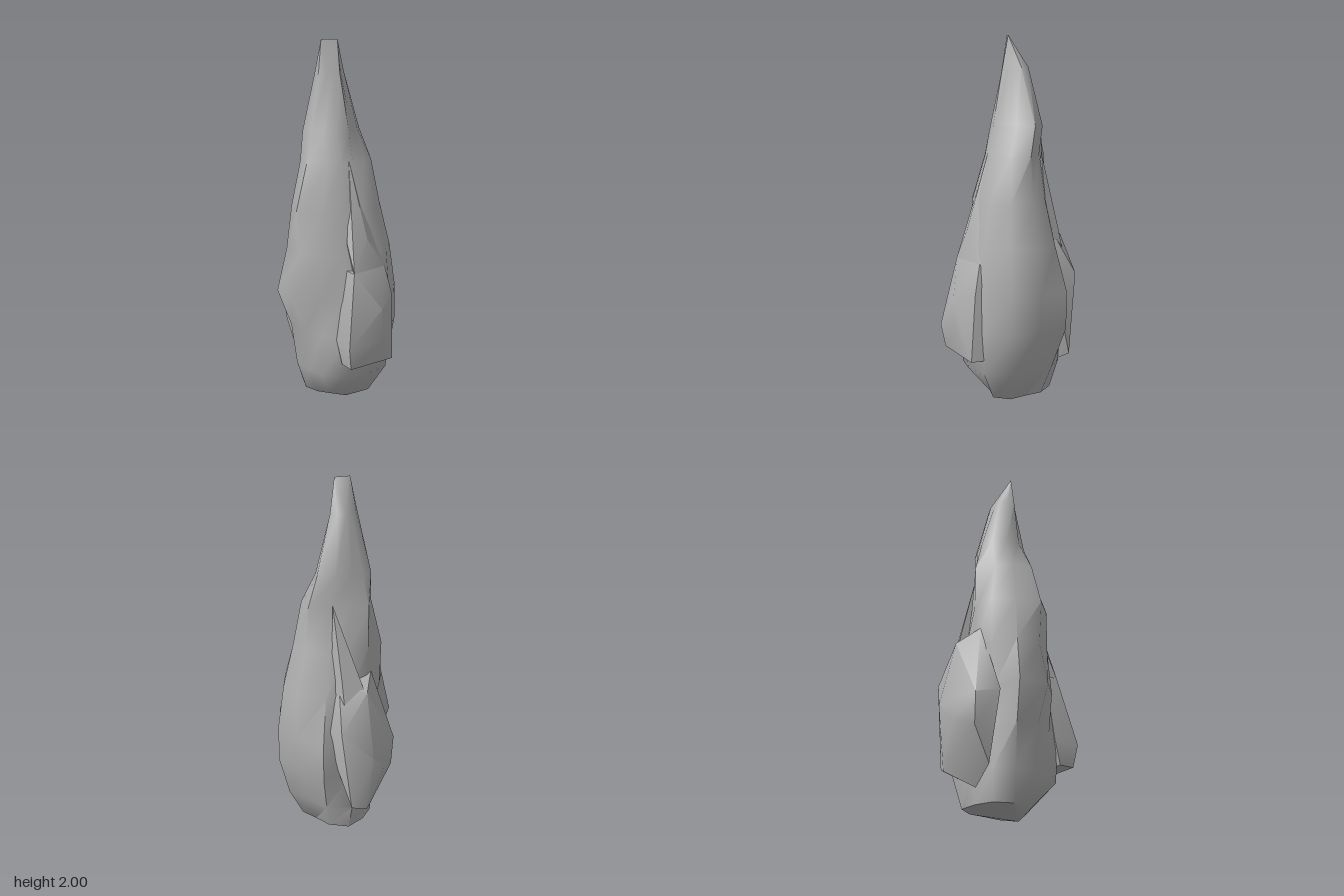
import * as THREE from 'three';
import { toCreasedNormals } from 'three/addons/utils/BufferGeometryUtils.js';
import { ConvexGeometry } from 'three/addons/geometries/ConvexGeometry.js';

const SIDES = 12;

// Each row: height, centre x, centre z, then radii every 30 degrees from +x towards +z
const SECTIONS = [
  [0.04, 0, 0, 0.125, 0.11, 0.12, 0.14, 0.18, 0.21, 0.21, 0.23, 0.2, 0.17, 0.2, 0.19],
  [0.2, 0, 0, 0.265, 0.26, 0.24, 0.21, 0.23, 0.22, 0.23, 0.28, 0.265, 0.23, 0.28, 0.29],
  [0.43, 0, 0, 0.29, 0.27, 0.23, 0.235, 0.26, 0.2, 0.23, 0.28, 0.35, 0.305, 0.338, 0.305],
  [0.64, 0, 0, 0.28, 0.24, 0.25, 0.318, 0.335, 0.2, 0.23, 0.26, 0.35, 0.32, 0.335, 0.305],
  [0.88, 0, 0, 0.25, 0.22, 0.23, 0.26, 0.28, 0.25, 0.22, 0.23, 0.28, 0.318, 0.3, 0.285],
  [1.12, 0, 0, 0.2, 0.2, 0.23, 0.28, 0.25, 0.255, 0.23, 0.2, 0.22, 0.24, 0.24, 0.22],
  [1.36, 0, 0, 0.13, 0.13, 0.15, 0.21, 0.2, 0.195, 0.23, 0.18, 0.18, 0.215, 0.19, 0.155],
  [1.52, -0.04, 0, 0.14, 0.135, 0.135, 0.15, 0.16, 0.16, 0.15, 0.14, 0.165, 0.195, 0.14, 0.115],
  [1.83, -0.03, 0.01, 0.065, 0.055, 0.065, 0.09, 0.09, 0.08, 0.07, 0.08, 0.095, 0.085, 0.05, 0.05],
];

function spireGeometry() {
  const points = [];
  for (const [y, cx, cz, ...radii] of SECTIONS) {
    radii.forEach((r, i) => {
      const a = (i / SIDES) * Math.PI * 2;
      points.push(cx + r * Math.cos(a), y, cz + r * Math.sin(a));
    });
  }
  // Tip pinches to a short ridge between two points
  for (let i = 0; i < SIDES; i++) {
    points.push(...(i >= 2 && i <= 6 ? [-0.035, 2, 0.078] : [0.005, 2, 0]));
  }
  points.push(0.08, 0, 0);

  const index = [];
  const foot = points.length / 3 - 1;
  for (let i = 0; i < SIDES; i++) {
    const n = (i + 1) % SIDES;
    index.push(foot, i, n);
    for (let k = 0; k < SECTIONS.length; k++) {
      const low = k * SIDES;
      const up = low + SIDES;
      index.push(low + i, up + i, low + n, low + n, up + i, up + n);
    }
  }
  const geometry = new THREE.BufferGeometry();
  geometry.setAttribute('position', new THREE.Float32BufferAttribute(points, 3));
  geometry.setIndex(index);
  return geometry;
}

// Chunky rock slab spanned by its corner points
const slab = (corners) => new ConvexGeometry(corners.map((c) => new THREE.Vector3(...c)));

export function createModel() {
  const group = new THREE.Group();
  group.name = 'rockSpire';
  const stone = new THREE.MeshStandardMaterial({ color: 0xb0b0b0 });
  stone.name = 'stone grey';

  const add = (name, geometry, crease) => {
    const mesh = new THREE.Mesh(toCreasedNormals(geometry, crease), stone);
    mesh.name = name;
    group.add(mesh);
  };

  add('spire', spireGeometry(), 1.0);

  // Bulging slab on the right flank (-x)
  add('rightSlab', slab([
    [-0.365, 0.55, -0.11], [-0.36, 0.45, 0], [-0.32, 0.57, 0.13], [-0.315, 0.4, 0.12],
    [-0.265, 0.72, -0.26], [-0.13, 0.7, -0.25], [-0.29, 0.91, -0.08], [-0.16, 0.97, -0.16],
    [-0.325, 0.21, -0.11], [-0.28, 0.24, -0.19], [-0.22, 0.12, 0.02], [-0.22, 0.22, 0.12],
    [-0.22, 0.98, 0.04], [-0.2, 0.6, 0.18],
  ]), 0.7);

  // Thin shard rising behind the right slab
  add('rightShard', slab([
    [-0.11, 1.38, -0.15], [-0.2, 0.98, -0.18], [-0.27, 0.92, -0.08], [-0.25, 0.72, -0.2],
    [-0.14, 0.75, -0.2], [-0.1, 0.9, -0.05],
  ]), 0.6);

  // Overhanging slab on the left flank (+x)
  add('leftSlab', slab([
    [0.27, 0.8, 0.11], [0.26, 0.8, -0.12], [0.36, 0.6, -0.01], [0.36, 0.42, -0.02],
    [0.33, 0.41, 0.195], [0.315, 0.29, 0.17], [0.32, 0.275, -0.13], [0.3, 0.64, -0.14],
    [0.23, 0.29, 0.16], [0.22, 0.28, -0.16], [0.19, 0.8, 0.1], [0.18, 0.8, -0.15],
    [0.19, 0.42, 0.165],
  ]), 0.7);

  // Shard rising above the left slab
  add('leftShard', slab([
    [0.12, 1.38, 0.02], [0.26, 0.97, 0.01], [0.2, 0.95, 0.1], [0.27, 0.8, 0.11],
    [0.26, 0.8, -0.12], [0.18, 0.8, -0.17], [0.16, 1.0, -0.16], [0.1, 0.8, 0],
  ]), 0.7);

  return group;
}
